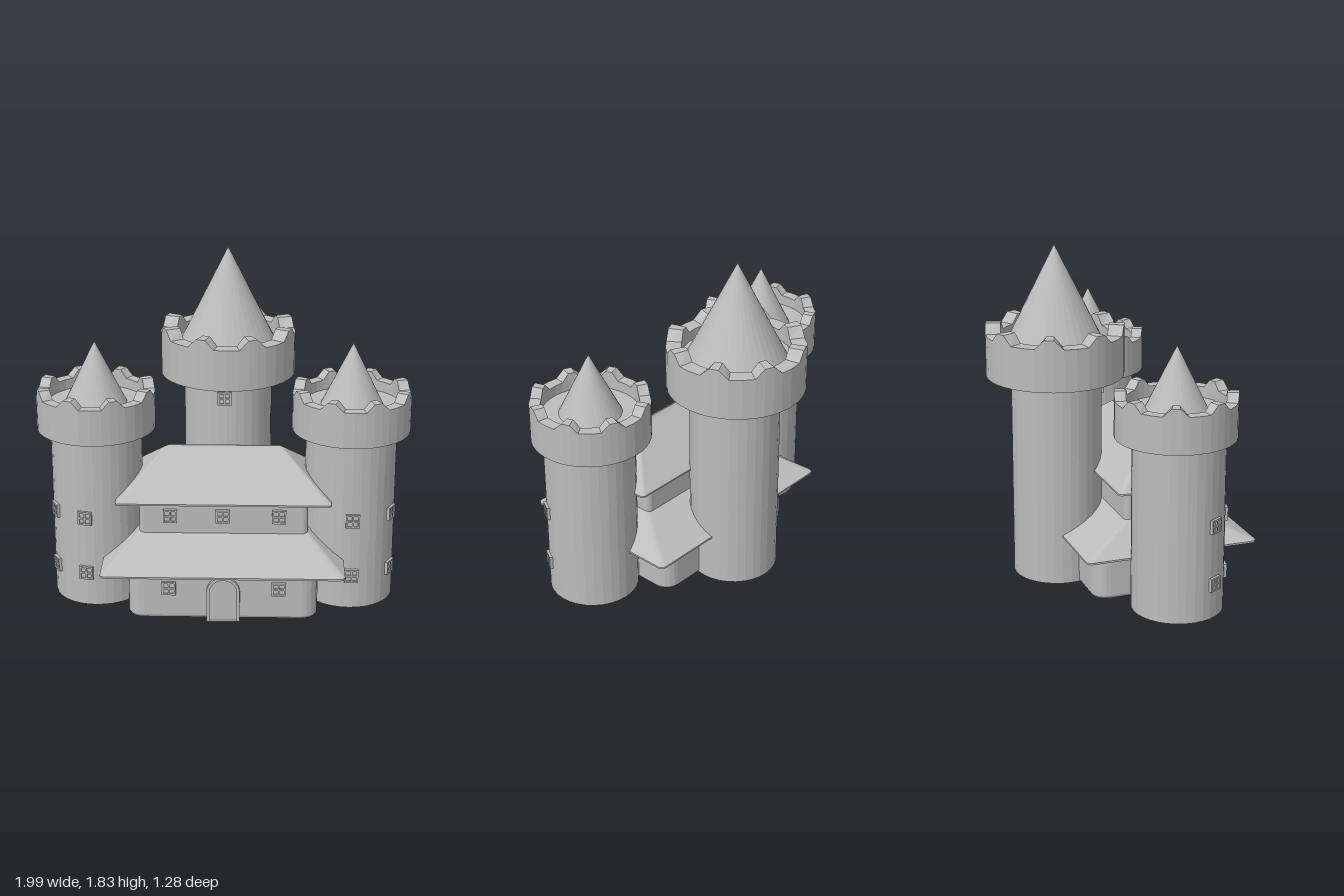
import * as THREE from 'three';

const stone = new THREE.MeshStandardMaterial({ color: 0xbcbcbc });
stone.name = 'grey stone';

function add(parent, geometry, name, x = 0, y = 0, z = 0) {
  const mesh = new THREE.Mesh(geometry, stone);
  mesh.name = name;
  mesh.position.set(x, y, z);
  parent.add(mesh);
  return mesh;
}

// Faceted copy of a geometry
function facet(geometry) {
  const g = geometry.index ? geometry.toNonIndexed() : geometry;
  g.computeVertexNormals();
  return g;
}

// Faceted skin over rings of [x, y, z] points, listed from bottom to top
function loft(rings) {
  const pos = [];
  const same = (a, b) => a.every((v, k) => Math.abs(v - b[k]) < 1e-7);
  const tri = (a, b, c) => {
    if (!same(a, b) && !same(b, c) && !same(a, c)) pos.push(...a, ...b, ...c);
  };
  for (let k = 0; k < rings.length - 1; k++) {
    const lo = rings[k], up = rings[k + 1], n = lo.length;
    for (let i = 0; i < n; i++) {
      const j = (i + 1) % n;
      tri(lo[i], up[i], up[j]);
      tri(lo[i], up[j], lo[j]);
    }
  }
  const g = new THREE.BufferGeometry();
  g.setAttribute('position', new THREE.Float32BufferAttribute(pos, 3));
  g.computeVertexNormals();
  return g;
}

// Rounded rectangle ring: half width, half depth, corner radius, height
function rectRing(hx, hz, r, y) {
  const ring = [];
  const signs = [[1, 1], [-1, 1], [-1, -1], [1, -1]];
  signs.forEach(([sx, sz], q) => {
    for (let i = 0; i <= 5; i++) {
      const a = (q + i / 5) * Math.PI / 2;
      ring.push([sx * (hx - r) + r * Math.cos(a), y, sz * (hz - r) + r * Math.sin(a)]);
    }
  });
  return ring;
}

// Closed block from [halfWidth, halfDepth, radius, y] levels
function block(levels) {
  const rings = levels.map((l) => rectRing(...l));
  const point = (y) => rings[0].map(() => [0, y, 0]);
  return loft([point(levels[0][3]), ...rings, point(levels[levels.length - 1][3])]);
}

// Hollow crown with eight sloped merlons
function crown(outer, inner, bottom, rim, top, floor) {
  const steps = [];
  for (let m = 0; m < 8; m++) {
    for (const [d, h] of [[-12, rim], [-4, top], [4, top], [12, rim], [22.5, rim]]) {
      steps.push([(22.5 + 45 * m + d) * Math.PI / 180, h]);
    }
  }
  const ring = (r, y) => steps.map(([a, h]) => [r * Math.cos(a), y ?? h, r * Math.sin(a)]);
  return loft([ring(0, bottom), ring(outer, bottom), ring(outer), ring(inner), ring(inner, floor), ring(0, floor)]);
}

// Four-pane window; its outside faces +z
function makeWindow(name) {
  const g = new THREE.Group();
  g.name = name;
  const s = 0.074, b = 0.009;
  add(g, new THREE.BoxGeometry(s, s, 0.012), 'panes', 0, 0, -0.002);
  for (const o of [-1, 0, 1]) {
    const p = o * (s - b) / 2;
    add(g, new THREE.BoxGeometry(b, s, 0.02), 'upright bar', p, 0, 0.002);
    add(g, new THREE.BoxGeometry(s, b, 0.02), 'cross bar', 0, p, 0.002);
  }
  return g;
}

function placeWindow(parent, x, y, z, turn = 0) {
  const w = makeWindow('window');
  w.position.set(x, y, z);
  w.rotation.y = turn;
  parent.add(w);
}

// Round tower: shaft, crown and pointed roof
function makeTower(name, o) {
  const g = new THREE.Group();
  g.name = name;
  const h = o.shaftTop - 0.015;
  add(g, facet(new THREE.CylinderGeometry(o.r, o.r, h, 32)), 'shaft', 0, 0.015 + h / 2, o.shaftZ);
  add(g, crown(o.crownR, o.innerR, o.shaftTop, o.rim, o.top, o.floor), 'crown');
  const ch = o.apex - o.floor;
  add(g, facet(new THREE.ConeGeometry(o.coneR, ch, 36)), 'pointed roof', 0, o.floor + ch / 2, 0);
  return g;
}

// Arch outline, standing on y = 0
function archPath(P, w, h) {
  const p = new P();
  p.moveTo(-w, 0);
  p.lineTo(w, 0);
  p.lineTo(w, h - w);
  p.absarc(0, h - w, w, 0, Math.PI, false);
  p.lineTo(-w, 0);
  return p;
}

export function createModel() {
  const castle = new THREE.Group();
  castle.name = 'castle';

  // Hall: two storeys, each under a hipped roof
  const hall = new THREE.Group();
  hall.name = 'hall';
  hall.position.set(0.004, 0, 0.157);
  castle.add(hall);
  add(hall, block([[0.485, 0.366, 0.07, 0.012], [0.497, 0.378, 0.08, 0.017], [0.503, 0.384, 0.085, 0.03],
    [0.503, 0.384, 0.085, 0.29]]), 'lower storey');
  add(hall, block([[0.641, 0.477, 0.03, 0.284], [0.641, 0.477, 0.03, 0.294],
    [0.45, 0.19, 0.02, 0.43]]), 'lower roof');
  add(hall, block([[0.45, 0.2, 0.03, 0.4], [0.45, 0.2, 0.03, 0.62]]), 'upper storey');
  add(hall, block([[0.571, 0.278, 0.02, 0.613], [0.571, 0.278, 0.02, 0.622], [0.32, 0.016, 0.008, 0.84],
    [0.298, 0.004, 0.003, 0.853]]), 'upper roof');
  for (const x of [-0.284, -0.004, 0.296]) placeWindow(hall, x, 0.525, 0.205);
  for (const x of [-0.284, 0.296]) placeWindow(hall, x, 0.19, 0.386);

  // Arched door with a raised surround
  const door = new THREE.Group();
  door.name = 'door';
  door.position.set(0.007, 0.005, 0.53);
  castle.add(door);
  const surround = archPath(THREE.Shape, 0.088, 0.255);
  surround.holes.push(archPath(THREE.Path, 0.072, 0.239));
  add(door, new THREE.ExtrudeGeometry(surround, { depth: 0.032, bevelEnabled: false, curveSegments: 16 }), 'door surround');
  add(door, new THREE.ExtrudeGeometry(archPath(THREE.Shape, 0.073, 0.24),
    { depth: 0.014, bevelEnabled: false, curveSegments: 16 }), 'door leaf');

  // Tall keep at the back
  const keep = makeTower('keep', {
    r: 0.242, shaftZ: 0.006, shaftTop: 1.132, crownR: 0.37, innerR: 0.288,
    rim: 1.36, top: 1.41, floor: 1.305, coneR: 0.264, apex: 1.835,
  });
  keep.position.set(0.014, 0, -0.277);
  castle.add(keep);
  placeWindow(keep, -0.014, 1.05, 0.247);

  // Matching side towers with outward windows
  for (const side of [-1, 1]) {
    const tower = makeTower(side > 0 ? 'left tower' : 'right tower', {
      r: 0.243, shaftZ: 0.018, shaftTop: 0.952, crownR: 0.316, innerR: 0.256,
      rim: 1.147, top: 1.19, floor: 1.09, coneR: 0.165, apex: 1.427,
    });
    tower.position.set(side * 0.681, 0, 0.14);
    castle.add(tower);
    const front = side > 0 ? 0.03 : -0.2;
    for (const turn of [front, side * 1.07]) {
      for (const y of [0.205, 0.523]) {
        placeWindow(tower, 0.244 * Math.sin(turn), y, 0.018 + 0.244 * Math.cos(turn), turn);
      }
    }
  }
  return castle;
}
